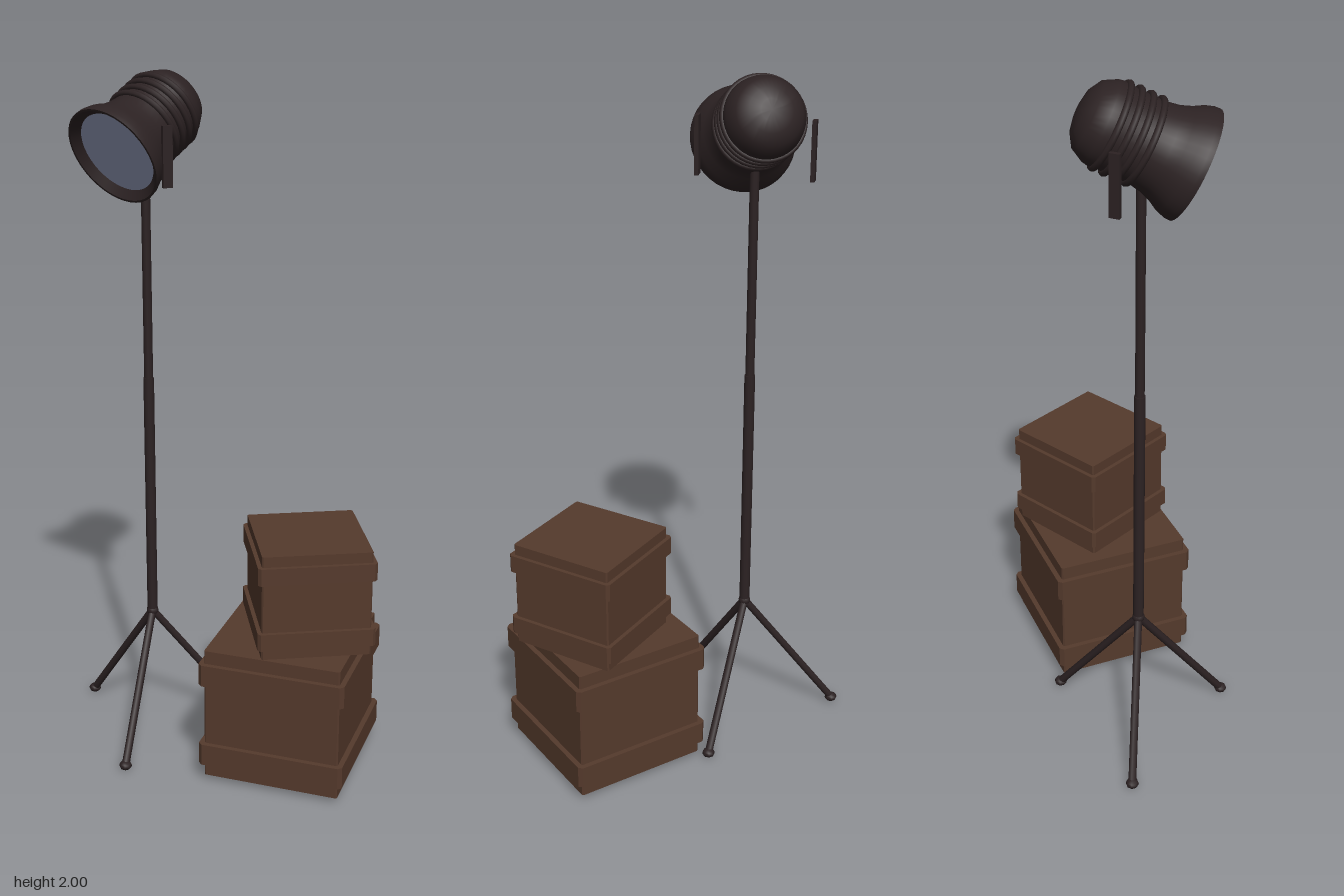
import * as THREE from 'three';
import { toCreasedNormals } from 'three/addons/utils/BufferGeometryUtils.js';

const mat = (name, color, side = THREE.FrontSide) =>
  Object.assign(new THREE.MeshStandardMaterial({ color, side }), { name });

export function createModel() {
  const wood = mat('brown wood', 0x553a2c);
  const metal = mat('dark metal', 0x2c2223, THREE.DoubleSide);
  const glass = mat('pale lens', 0x959cba);
  const model = new THREE.Group();
  model.name = 'studioLampAndCrates';

  const add = (parent, name, geometry, material, x = 0, y = 0, z = 0) => {
    const mesh = new THREE.Mesh(geometry, material);
    mesh.name = name;
    mesh.position.set(x, y, z);
    parent.add(mesh);
    return mesh;
  };
  const group = (name, x, y, z) => {
    const g = new THREE.Group();
    g.name = name;
    g.position.set(x, y, z);
    model.add(g);
    return g;
  };

  // Upright square block with chamfered vertical corners, base at y = 0
  const block = (width, height, chamfer) => {
    const h = width / 2, k = h - chamfer;
    const corners = [[h, -k], [h, k], [k, h], [-k, h], [-h, k], [-h, -k], [-k, -h], [k, -h]];
    const shape = new THREE.Shape(corners.map(([x, y]) => new THREE.Vector2(x, y)));
    return new THREE.ExtrudeGeometry(shape, { depth: height, bevelEnabled: false }).rotateX(-Math.PI / 2);
  };

  // Crates: a body with two raised bands
  const crate = (name, x, y, z, turn, s) => {
    const g = group(name, x, y, z);
    g.rotation.y = turn;
    add(g, 'crateBody', block(0.4 * s, 0.402 * s, 0.004), wood);
    for (const by of [0.04, 0.296]) add(g, 'crateBand', block(0.43 * s, 0.066 * s, 0.011 * s), wood, 0, by * s, 0);
  };
  crate('largeCrate', 0.193, 0.018, 0.064, -0.276, 1);
  crate('smallCrate', 0.238, 0.42, 0.067, 0.173, 0.78);

  // Stand: two-stage pole, hub and three splayed legs with feet
  const stand = group('stand', -0.233, 0, -0.12);
  add(stand, 'lowerPole', new THREE.CylinderGeometry(0.0155, 0.0155, 0.75, 12), metal, 0, 0.755, 0);
  add(stand, 'upperPole', new THREE.CylinderGeometry(0.013, 0.013, 0.65, 12), metal, 0, 1.435, 0);
  add(stand, 'hub', new THREE.SphereGeometry(0.018, 12, 8), metal, 0, 0.39, 0);
  for (let i = 0; i < 3; i++) {
    const a = -0.318 + i * Math.PI * 2 / 3;
    const foot = new THREE.Vector3(0.285 * Math.cos(a), 0.014, 0.285 * Math.sin(a));
    const path = new THREE.LineCurve3(new THREE.Vector3(0, 0.39, 0), foot);
    add(stand, 'leg', new THREE.TubeGeometry(path, 1, 0.0115, 8), metal);
    add(stand, 'foot', new THREE.SphereGeometry(0.019, 8, 6).scale(1, 0.74, 1), metal, foot.x, foot.y, foot.z);
  }

  // Side brackets flanking the lamp
  const brackets = group('brackets', -0.233, 1.79, -0.12);
  brackets.rotation.y = 0.49;
  for (const side of [-1, 1])
    add(brackets, 'bracket', new THREE.BoxGeometry(0.028, 0.165, 0.012), metal, 0, 0, side * 0.159);

  // Lamp head: local +y runs from the mouth to the domed back
  const lamp = group('lampHead', -0.31, 1.783, -0.015);
  lamp.quaternion.setFromUnitVectors(new THREE.Vector3(0, 1, 0), new THREE.Vector3(0.53, 0.45, -0.72).normalize());
  const profile = [
    [0.119, 0.024], [0.143, 0], [0.149, 0], [0.148, 0.015], [0.14, 0.04], [0.126, 0.065],
    [0.115, 0.095], [0.109, 0.13], [0.109, 0.22], [0.112, 0.235], [0.108, 0.258],
    [0.09, 0.292], [0.06, 0.311], [0.03, 0.318], [0, 0.32],
  ].map(([r, y]) => new THREE.Vector2(r, y));
  add(lamp, 'lampShell', toCreasedNormals(new THREE.LatheGeometry(profile, 40), 0.7), metal);
  add(lamp, 'lens', new THREE.CircleGeometry(0.122, 40).rotateX(Math.PI / 2), glass, 0, 0.021, 0);
  for (const y of [0.14, 0.17, 0.2, 0.23])
    add(lamp, 'coolingRing', new THREE.TorusGeometry(0.111, 0.009, 8, 40).rotateX(Math.PI / 2), metal, 0, y, 0);

  return model;
}
